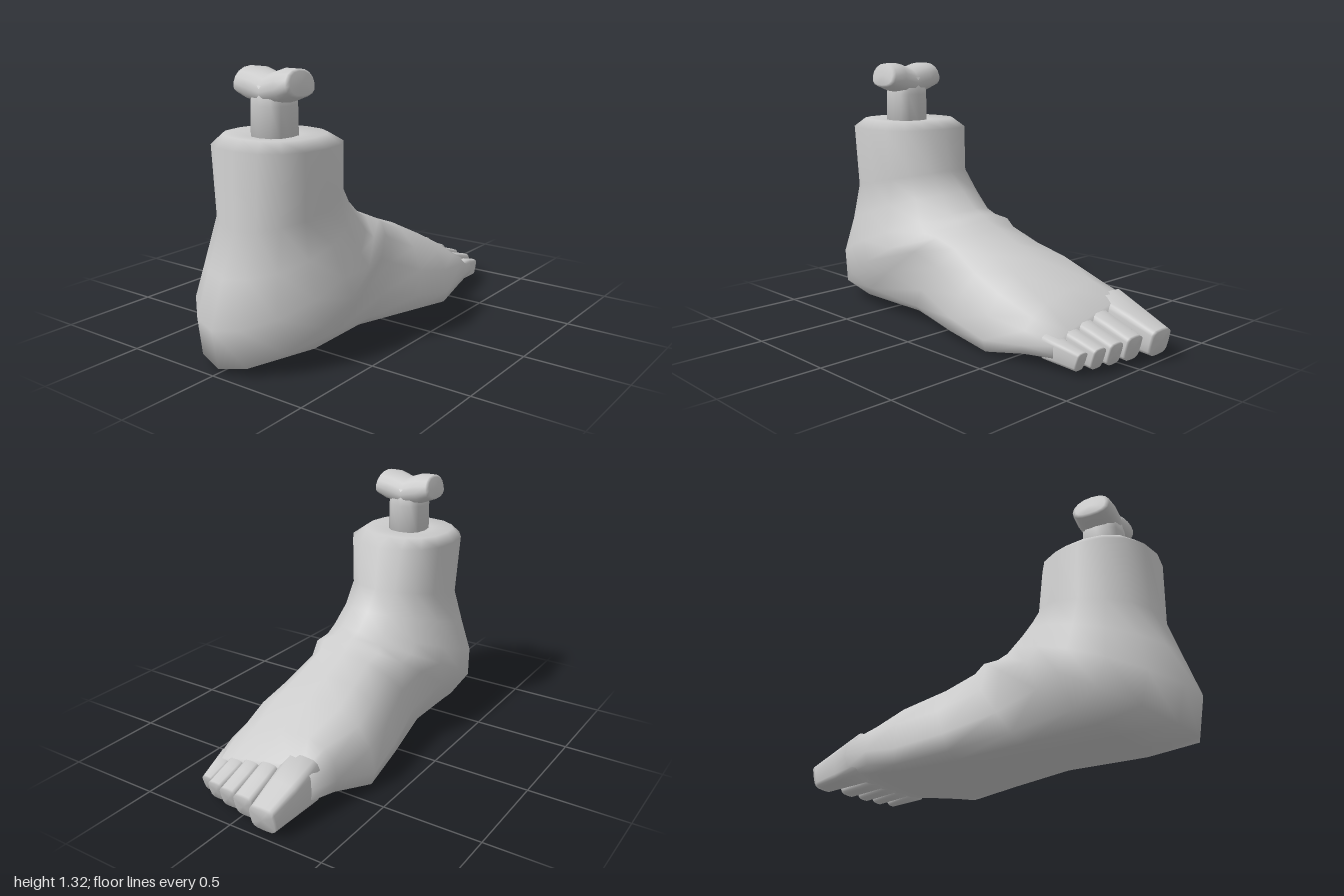
import * as THREE from 'three';

const material = new THREE.MeshStandardMaterial({ color: 0xcccccc });

// Closed skin over rings. Each ring spans from point F to point B in the xy plane:
// [Fx, Fy, Bx, By, z centre, half width, squareness, side drop, tilt]
function loft(name, rings, n = 16) {
  const pos = [], idx = [];
  const pw = (v, p) => Math.sign(v) * Math.abs(v) ** (2 / p);
  for (const [fx, fy, bx, by, zc, w, p = 2.3, drop = 0, tilt = 0] of rings) {
    for (let j = 0; j < n; j++) {
      const a = (j / n) * Math.PI * 2;
      let t = pw(Math.cos(a), p);
      t = Math.max(-1, t - drop * (1 - t * t));
      const z = zc + w * pw(Math.sin(a), p);
      const k = (t + 1) / 2;
      pos.push(bx + (fx - bx) * k, by + (fy - by) * k - tilt * z * k, z);
    }
  }
  const last = (rings.length - 1) * n;
  for (let i = 0; i < last; i += n) {
    for (let j = 0; j < n; j++) {
      const a = i + j, b = i + (j + 1) % n;
      idx.push(a, b, a + n, b, b + n, a + n);
    }
  }
  // end caps
  for (const [start, ring, flip] of [[0, rings[0], true], [last, rings.at(-1), false]]) {
    const c = pos.length / 3;
    pos.push((ring[0] + ring[2]) / 2, (ring[1] + ring[3]) / 2, ring[4]);
    for (let j = 0; j < n; j++) {
      const a = start + j, b = start + (j + 1) % n;
      if (flip) idx.push(c, b, a);
      else idx.push(c, a, b);
    }
  }
  const geo = new THREE.BufferGeometry();
  geo.setAttribute('position', new THREE.Float32BufferAttribute(pos, 3));
  geo.setIndex(idx);
  geo.computeVertexNormals();
  const mesh = new THREE.Mesh(geo, material);
  mesh.name = name;
  return mesh;
}

export function createModel() {
  const group = new THREE.Group();
  group.name = 'foot';

  // Leg stump, heel and forefoot: rings fan round from level to upright
  group.add(loft('legAndFoot', [
    [-0.45, 1.01, -0.69, 1.01, 0.005, 0.12],
    [-0.34, 1.02, -0.79, 1.02, 0.005, 0.23],
    [-0.265, 0.975, -0.845, 0.975, 0.012, 0.283],
    [-0.23, 0.76, -0.85, 0.63, 0.01, 0.267, 2.1],
    [-0.14, 0.66, -0.925, 0.42, 0, 0.31, 1.9],
    [-0.05, 0.58, -1, 0.21, 0, 0.365, 1.8],
    [0, 0.56, -0.965, 0.02, 0, 0.38, 1.85],
    [0.04, 0.535, -0.68, 0.015, 0, 0.335, 2.8, 0.1],
    [0.1, 0.51, -0.25, 0.02, 0, 0.3, 2.6, 0.3],
    [0.25, 0.445, 0.1, 0.01, 0, 0.345, 2.5, 0.5, 0.04],
    [0.4, 0.39, 0.38, 0, -0.005, 0.375, 2.6, 0.6, 0.07],
    [0.6, 0.29, 0.6, 0.025, 0.015, 0.325, 2.8, 0.35, 0.16],
    [0.75, 0.205, 0.75, 0.045, 0.015, 0.295, 3.6, 0.1, 0.22],
  ]));

  // Toes, big to little: [name, tip x, base z0, z1, tip z0, z1, base top, tip top]
  const toes = [
    ['bigToe', 0.985, -0.28, -0.083, -0.24, -0.107, 0.262, 0.14],
    ['secondToe', 0.94, -0.09, 0.025, -0.085, 0.02, 0.228, 0.13],
    ['thirdToe', 0.92, 0.02, 0.122, 0.031, 0.118, 0.203, 0.12],
    ['fourthToe', 0.9, 0.115, 0.214, 0.128, 0.206, 0.18, 0.113],
    ['littleToe', 0.865, 0.207, 0.31, 0.214, 0.273, 0.155, 0.103],
  ];
  for (const [name, tip, a0, a1, b0, b1, top, tipTop] of toes) {
    const base = 0.69;
    const ring = (k) => {
      const x = base + (tip - base) * k, mix = THREE.MathUtils.lerp;
      const z0 = mix(a0, b0, k), z1 = mix(a1, b1, k);
      const y1 = mix(top, tipTop, k), y0 = mix(0.04, 0.018, k);
      return [x + 0.015 * k, y1, x - 0.015 * k, y0, (z0 + z1) / 2, (z1 - z0) / 2, 4];
    };
    group.add(loft(name, [ring(0), ring(0.5), ring(0.95), ring(1)]));
  }

  // Bone shaft
  group.add(loft('boneShaft', [
    [-0.475, 1.24, -0.675, 1.24, 0.01, 0.09, 2.6],
    [-0.475, 1.15, -0.675, 1.15, 0.012, 0.1, 2.6],
    [-0.47, 0.98, -0.68, 0.98, 0.012, 0.1, 2.6],
  ], 12));

  // Two-lobed bone end, built along x and turned to run along z
  const head = loft('boneEnd', [
    [-0.136, 1.305, -0.16, 1.2, 0, 0.08, 2.3, 0.15],
    [-0.125, 1.315, -0.148, 1.19, 0, 0.1, 2.3, 0.15],
    [-0.06, 1.315, -0.085, 1.165, 0, 0.106, 2.3, 0.15],
    [0.012, 1.29, 0.012, 1.15, 0, 0.103, 2.3, 0.15],
    [0.085, 1.315, 0.11, 1.165, 0, 0.106, 2.3, 0.15],
    [0.15, 1.315, 0.173, 1.19, 0, 0.1, 2.3, 0.15],
    [0.161, 1.305, 0.185, 1.2, 0, 0.08, 2.3, 0.15],
  ]);
  head.rotation.y = -Math.PI / 2;
  head.position.x = -0.575;
  group.add(head);

  return group;
}
